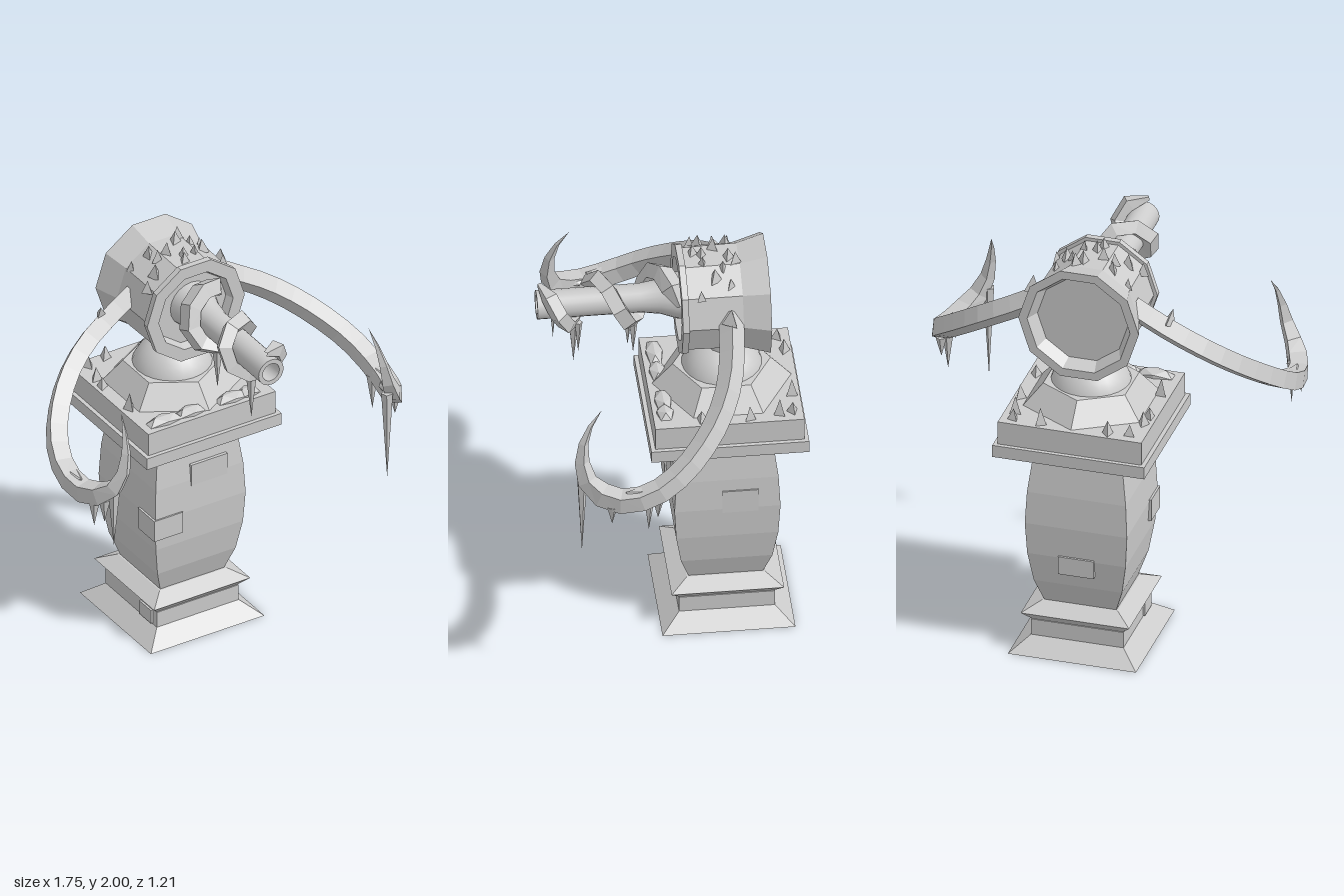
import * as THREE from 'three';
import { toCreasedNormals } from 'three/addons/utils/BufferGeometryUtils.js';

const flat = new THREE.MeshStandardMaterial({ color: 0xcccccc, flatShading: true });
const smooth = new THREE.MeshStandardMaterial({ color: 0xcccccc });
const CZ = -0.255; // pedestal centre line
const V = (p) => new THREE.Vector3(...p);

function add(parent, name, geometry, pos = [0, 0, 0], material = flat) {
  const mesh = new THREE.Mesh(geometry, material);
  mesh.name = name;
  mesh.position.set(...pos);
  parent.add(mesh);
  return mesh;
}

// Revolved profile of [radius, height] pairs
function lathe(profile, sides, start, scale = 1) {
  return new THREE.LatheGeometry(profile.map(([r, y]) => new THREE.Vector2(r * scale, y)), sides, start);
}

// Tube whose radius follows a rule along its length
function taperedTube(points, segments, sides, radiusAt) {
  const curve = new THREE.CatmullRomCurve3(points);
  const geo = new THREE.TubeGeometry(curve, segments, 1, sides);
  const pos = geo.attributes.position;
  const v = new THREE.Vector3();
  for (let i = 0; i <= segments; i++) {
    const centre = curve.getPointAt(i / segments);
    for (let j = 0; j <= sides; j++) {
      const k = i * (sides + 1) + j;
      v.fromBufferAttribute(pos, k).sub(centre).multiplyScalar(radiusAt(i / segments)).add(centre);
      pos.setXYZ(k, v.x, v.y, v.z);
    }
  }
  return geo;
}

// Upward shard standing on a point
function shard(parent, x, y, z, r, h, turn) {
  const mesh = add(parent, 'iceShard', new THREE.ConeGeometry(r, h, 3), [x, y + h / 2, z]);
  mesh.rotation.y = turn;
  return mesh;
}

// Hanging icicle between two heights
function icicle(parent, x, top, tip, z, r = 0.028) {
  const mesh = add(parent, 'icicle', new THREE.ConeGeometry(r, top - tip, 5), [x, (top + tip) / 2, z]);
  mesh.rotation.x = Math.PI;
}

// Flattened lump of ice
function lump(parent, pos, size) {
  add(parent, 'iceLump', new THREE.IcosahedronGeometry(1, 0), pos).scale.set(...size);
}

function buildPedestal(root) {
  const g = new THREE.Group();
  g.name = 'pedestal';
  root.add(g);
  const square = (name, profile) =>
    add(g, name, lathe(profile, 4, Math.PI / 4, Math.SQRT2), [0, 0, CZ]);
  square('plinth', [[0, 0], [0.305, 0], [0.22, 0.07], [0.22, 0.15], [0.215, 0.15], [0.258, 0.195],
    [0.18, 0.235], [0, 0.235]]);
  square('column', [[0.17, 0.23], [0.21, 0.35], [0.234, 0.5], [0.243, 0.66], [0.235, 0.82], [0.215, 0.98]]);
  square('capital', [[0, 0.97], [0.215, 0.97], [0.362, 1.05], [0.362, 1.11], [0.342, 1.11],
    [0.342, 1.225], [0, 1.225]]);

  // Raised bricks: centre, then size
  const bricks = [
    [[0.05, 0.845, -0.04], [0.195, 0.11, 0.05]],
    [[-0.175, 0.615, -0.075], [0.155, 0.11, 0.14]],
    [[0.225, 0.7, -0.315], [0.04, 0.12, 0.165]],
    [[0, 0.465, -0.48], [0.17, 0.09, 0.04]],
    [[-0.215, 0.11, -0.12], [0.03, 0.07, 0.1]],
  ];
  for (const [pos, size] of bricks) add(g, 'brick', new THREE.BoxGeometry(...size), pos);

  // Swivel mount
  add(g, 'skirt', new THREE.CylinderGeometry(0.225, 0.32, 0.105, 6), [0, 1.277, CZ]);
  add(g, 'dome', new THREE.SphereGeometry(0.195, 24, 10, 0, Math.PI * 2, 0, Math.PI / 2), [0, 1.265, CZ], smooth);
  add(g, 'neck', toCreasedNormals(new THREE.CylinderGeometry(0.09, 0.09, 0.14, 16), 0.6), [0, 1.47, -0.27], smooth);

  // Ice on the deck
  const shards = [[-0.27, -0.54], [-0.17, -0.56], [0.15, -0.56], [0.28, -0.55], [-0.3, -0.43], [0.29, -0.49],
    [-0.31, -0.36], [0.31, -0.35], [-0.3, -0.14], [0.3, -0.13]];
  shards.forEach(([x, z], i) => shard(g, x, 1.22, z, 0.032, 0.06 + 0.015 * (i % 3), i * 1.3));
  for (const [x, w] of [[-0.22, 0.1], [-0.08, 0.08], [0.14, 0.09], [0.23, 0.06]]) {
    lump(g, [x, 1.225, 0.03], [w, 0.035, 0.045]);
  }
}

function buildHousing(root) {
  const g = new THREE.Group();
  g.name = 'housing';
  root.add(g);
  const profile = [[0, -0.39], [0.215, -0.39], [0.245, -0.455], [0.287, -0.455], [0.25, -0.33], [0.245, -0.08],
    [0.262, -0.08], [0.262, -0.05], [0.2, -0.05], [0.185, -0.09], [0, -0.09]];
  const body = lathe(profile, 10, Math.PI / 10).rotateX(Math.PI / 2);
  add(g, 'housingShell', body, [0, 1.705, 0]);

  // Shards growing on the upper faces
  const shards = [[-0.19, -0.3], [-0.11, -0.28], [0.03, -0.28], [0.16, -0.28], [-0.1, -0.22], [-0.05, -0.22],
    [0.06, -0.16], [0, -0.16], [0.13, -0.21], [0.2, -0.14], [-0.21, -0.13], [-0.15, -0.16], [0.09, -0.25],
    [-0.02, -0.12], [0.06, -0.31]];
  shards.forEach(([x, z], i) => {
    const drop = Math.max(0, Math.abs(x) - 0.077) * 0.73;
    shard(g, x, 1.93 - drop, z, 0.024 + 0.006 * (i % 3), 0.055 + 0.008 * (i % 3), i * 1.7);
  });
}

function buildBarrel(root) {
  const g = new THREE.Group();
  g.name = 'barrel';
  g.position.y = 1.725;
  root.add(g);
  const tube = lathe([[0.115, -0.1], [0.105, -0.04], [0.08, 0.03], [0.067, 0.12], [0.067, 0.595],
    [0.045, 0.595], [0.045, 0.5], [0, 0.5]], 20, 0).rotateX(Math.PI / 2);
  add(g, 'barrelTube', toCreasedNormals(tube, 0.6), [0, 0, 0], smooth);

  // Angular coil wound round the barrel
  const pts = [];
  for (let z = -0.05; z <= 0.6; z += 0.28 / 8) {
    const t = (Math.PI * 2 * (z - 0.01)) / 0.28;
    const r = 0.1 + 0.025 * Math.max(0, 1 - z / 0.2);
    pts.push(new THREE.Vector3(-Math.sin(t) * r, Math.cos(t) * r, z));
  }
  add(g, 'coil', taperedTube(pts, 17, 4, (u) => (u === 0 || u === 1 ? 0.012 : 0.052 - 0.012 * u)));
  icicle(g, 0, -0.09, -0.335, 0.425);
  icicle(g, 0.02, -0.1, -0.27, 0.405, 0.02);
  icicle(g, -0.01, -0.09, -0.32, 0.15);
  icicle(g, 0.03, -0.1, -0.24, 0.18, 0.02);
}

function buildArm(root, side) {
  const g = new THREE.Group();
  g.name = side > 0 ? 'leftArm' : 'rightArm';
  root.add(g);
  const path = [[0.2, 1.745, -0.275], [0.34, 1.66, -0.265], [0.49, 1.57, -0.235], [0.64, 1.46, -0.155],
    [0.78, 1.325, 0], [0.83, 1.235, 0.15], [0.82, 1.2, 0.3], [0.76, 1.25, 0.43], [0.71, 1.36, 0.465],
    [0.685, 1.5, 0.44], [0.665, 1.61, 0.37]];
  const curve = path.map(([x, y, z]) => V([x * side, y, z]));
  add(g, 'hookedArm', taperedTube(curve, 18, 4, (u) => (u < 0.72 ? 0.058 : 0.058 * (1 - u) / 0.28)));
  lump(g, [0.82 * side, 1.235, 0.2], [0.035, 0.03, 0.09]);
  lump(g, [0.79 * side, 1.225, 0.34], [0.035, 0.03, 0.07]);
}

export function createModel() {
  const root = new THREE.Group();
  root.name = 'frozenTurret';
  buildPedestal(root);
  buildHousing(root);
  buildBarrel(root);
  buildArm(root, 1);
  buildArm(root, -1);

  // Ice on the arms
  shard(root, 0.27, 1.75, -0.27, 0.045, 0.08, 0);
  shard(root, -0.38, 1.67, -0.26, 0.035, 0.08, 1).rotation.z = 0.4;
  const hanging = [[0.705, 1.3, 0.84, 0.465], [0.81, 1.2, 1.02, 0.17], [0.825, 1.18, 1.08, 0.34],
    [0.83, 1.2, 1.1, 0.13], [-0.745, 1.24, 0.95, 0.435], [-0.81, 1.19, 1.05, 0.37], [-0.78, 1.2, 1.08, 0.41]];
  for (const [x, top, tip, z] of hanging) icicle(root, x, top, tip, z);
  return root;
}
